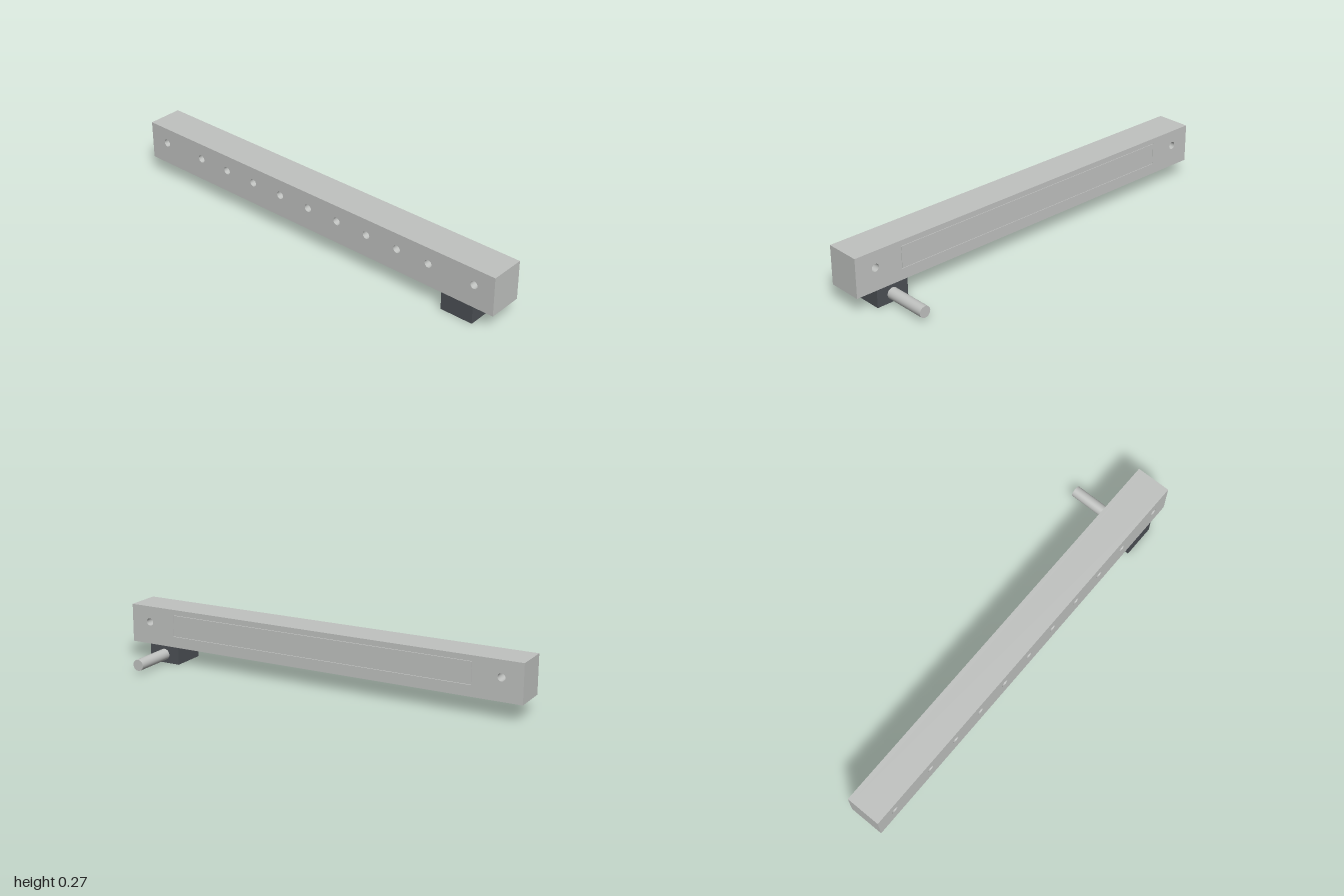
import * as THREE from 'three';

const BACK = 0.023, FRONT = 0.19, BOTTOM = 0.083, TOP = 0.267, HOLE_Y = 0.19;
const COVER_DEPTH = 0.02;

function rectangle(Type, x0, y0, x1, y1) {
  const s = new Type();
  s.moveTo(x0, y0);
  s.lineTo(x1, y0);
  s.lineTo(x1, y1);
  s.lineTo(x0, y1);
  s.closePath();
  return s;
}

function roundHole(x) {
  return new THREE.Path().absarc(x, HOLE_Y, 0.018, 0, Math.PI * 2, true);
}

// One layer of the bar, pierced by the given holes, between two depths
function barLayer(holes, z0, z1) {
  const shape = rectangle(THREE.Shape, -1, BOTTOM, 1, TOP);
  shape.holes.push(...holes);
  const g = new THREE.ExtrudeGeometry(shape, { depth: z1 - z0, bevelEnabled: false, curveSegments: 24 });
  return g.translate(0, 0, z0);
}

export function createModel() {
  const model = new THREE.Group();
  model.name = 'manifoldBar';
  const metal = new THREE.MeshStandardMaterial({ color: 0xc0c2c0 });
  metal.name = 'light grey metal';
  const dark = new THREE.MeshStandardMaterial({ color: 0x4c5055 });
  dark.name = 'dark grey';

  const add = (name, geometry, material, x = 0, y = 0, z = 0) => {
    const mesh = new THREE.Mesh(geometry, material);
    mesh.name = name;
    mesh.position.set(x, y, z);
    model.add(mesh);
    return mesh;
  };

  // Main body: two mounting holes at the ends and nine ports between them
  const mounts = [-0.9, 0.9];
  const ports = Array.from({ length: 9 }, (_, i) => (i - 4) / 6);
  const seam = BACK + COVER_DEPTH;
  add('barBody', barLayer([...mounts, ...ports].map(roundHole), seam, FRONT), metal);

  // Rear rim with the long pocket that holds the cover
  const pocket = rectangle(THREE.Path, -0.765, 0.135, 0.765, 0.241);
  add('barRearRim', barLayer([...mounts.map(roundHole), pocket], BACK, seam), metal);
  add('rearCover', new THREE.BoxGeometry(1.526, 0.102, COVER_DEPTH), metal, 0, 0.188, BACK + COVER_DEPTH / 2);

  // Block under the left end, with a rod pointing backwards
  add('lowerBlock', new THREE.BoxGeometry(0.16, BOTTOM, FRONT - BACK), dark, 0.82, BOTTOM / 2, (FRONT + BACK) / 2);
  const rod = new THREE.CylinderGeometry(0.027, 0.027, BACK + 0.19, 24);
  rod.rotateX(Math.PI / 2);
  add('rearRod', rod, metal, 0.82, 0.041, (BACK - 0.19) / 2);

  return model;
}
